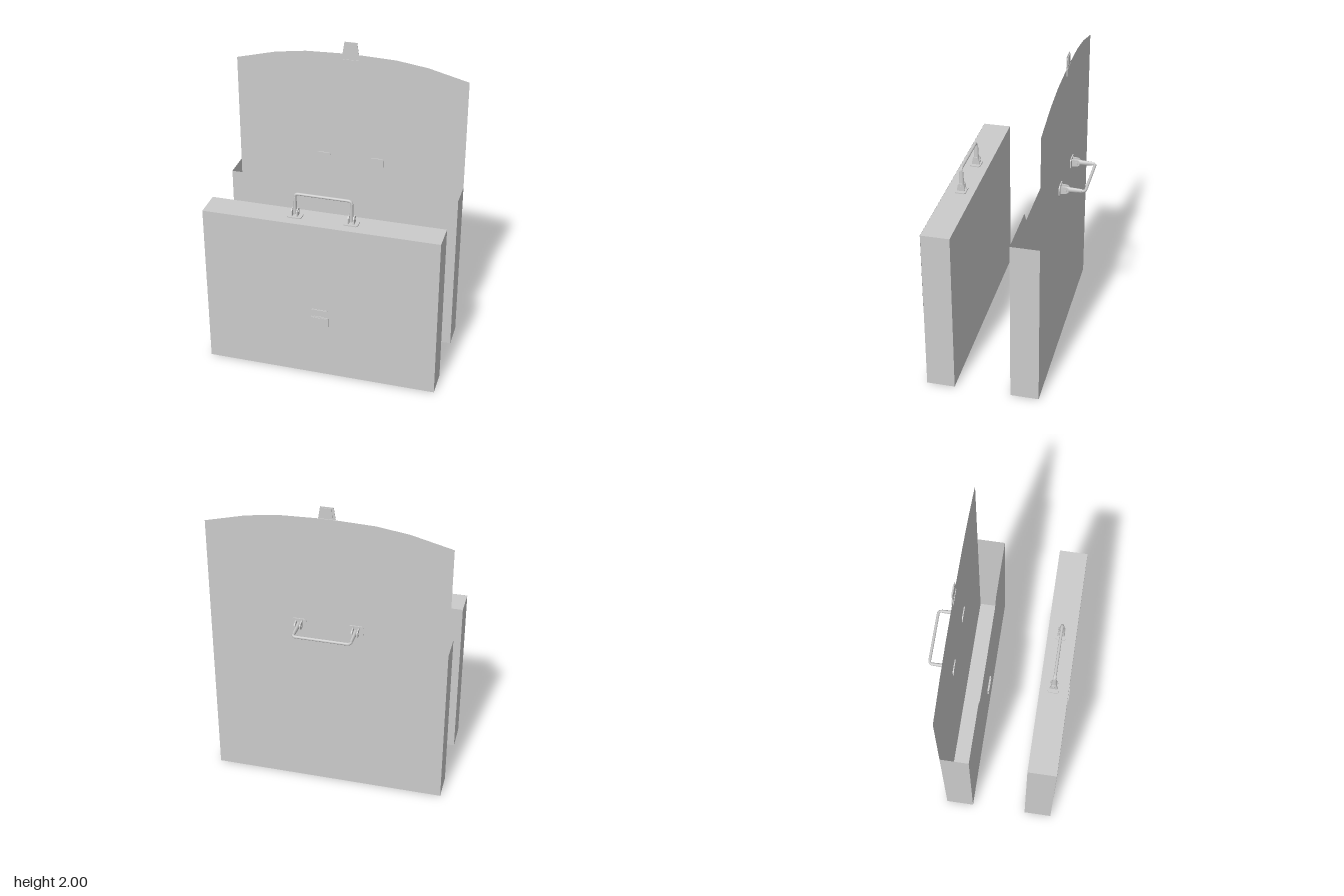
import * as THREE from 'three';

const W = 0.747, H = 1.093, D = 0.18;   // half width, body height, body depth
const sheet = new THREE.MeshStandardMaterial({ color: 0xcccccc, side: THREE.DoubleSide });
const solid = new THREE.MeshStandardMaterial({ color: 0xcccccc });

function add(parent, name, geometry, material, x = 0, y = 0, z = 0) {
  const mesh = new THREE.Mesh(geometry, material);
  mesh.name = name;
  mesh.position.set(x, y, z);
  parent.add(mesh);
  return mesh;
}

const polygon = (points) => new THREE.Shape(points.map(([x, y]) => new THREE.Vector2(x, y)));

function roundedRect(w, h, r) {
  const s = new THREE.Shape(), x = w / 2, y = h / 2;
  s.absarc(x - r, y - r, r, 0, Math.PI / 2);
  s.absarc(-x + r, y - r, r, Math.PI / 2, Math.PI);
  s.absarc(-x + r, -y + r, r, Math.PI, Math.PI * 1.5);
  s.absarc(x - r, -y + r, r, Math.PI * 1.5, Math.PI * 2);
  return s;
}

// Thin plate extruded along z, centred on z = 0
function plate(shape, thickness) {
  const g = new THREE.ExtrudeGeometry(shape, { depth: thickness, bevelEnabled: false, curveSegments: 4 });
  return g.translate(0, 0, -thickness / 2);
}

// Flap sheet with a bowed free edge, rising from y0 to the given side height
function flapGeometry(y0, side, sign) {
  const bow = [[W, 0], [0.49, 0.065], [0.29, 0.093], [0.06, 0.101]];
  const edge = [...bow, ...bow.map(([x, y]) => [-x, y]).reverse()];
  return new THREE.ShapeGeometry(polygon([[-W, y0], [W, y0], ...edge.map(([x, y]) => [x, side + sign * y])]));
}

// Carrying handle, standing up along y from a sheet at y = 0
function makeHandle() {
  const g = new THREE.Group();
  g.name = 'handle';
  const r = 0.009, x = 0.178, top = 0.155, c = 0.022;
  const path = new THREE.CurvePath();
  const v = (a, b) => new THREE.Vector3(a, b, 0);
  path.add(new THREE.LineCurve3(v(-x, 0.07), v(-x, top - c)));
  path.add(new THREE.QuadraticBezierCurve3(v(-x, top - c), v(-x, top), v(-x + c, top)));
  path.add(new THREE.LineCurve3(v(-x + c, top), v(x - c, top)));
  path.add(new THREE.QuadraticBezierCurve3(v(x - c, top), v(x, top), v(x, top - c)));
  path.add(new THREE.LineCurve3(v(x, top - c), v(x, 0.07)));
  add(g, 'grip', new THREE.TubeGeometry(path, 80, r, 10), solid);
  for (const s of [-1, 1]) {
    // Mount plate shows on both sides of the sheet
    add(g, 'mountPlate', plate(roundedRect(0.092, 0.07, 0.016), 0.014).rotateX(Math.PI / 2), solid, s * x);
    // Flattened leg, wider towards its pivot
    add(g, 'leg', new THREE.CylinderGeometry(0.009, 0.013, 0.115, 12).scale(1, 1, 1.45), solid, s * x, 0.078);
    // Fork cheeks and pivot pin
    const cheek = polygon([[-0.025, 0], [0.025, 0], [0.021, 0.042], [0.012, 0.055], [-0.012, 0.055], [-0.021, 0.042]]);
    for (const k of [-1, 1])
      add(g, 'forkCheek', plate(cheek, 0.008).rotateY(Math.PI / 2), solid, s * x + k * 0.017);
    add(g, 'pivotPin', new THREE.CylinderGeometry(0.007, 0.007, 0.05, 10).rotateZ(Math.PI / 2), solid, s * x, 0.036);
  }
  return g;
}

// Clasp tongue, pointing up from the flap edge at y = 0
function makeClasp() {
  const g = new THREE.Group();
  g.name = 'clasp';
  add(g, 'tongue', plate(polygon([[-0.052, 0], [0.052, 0], [0.04, 0.076], [-0.04, 0.076]]), 0.004), solid);
  add(g, 'raisedTongue', plate(polygon([[-0.034, 0.004], [0.034, 0.004], [0.029, 0.07], [-0.029, 0.07]]), 0.009), solid, 0, 0, -0.002);
  add(g, 'backPlate', new THREE.BoxGeometry(0.104, 0.044, 0.006), solid, 0, -0.022, -0.004);
  add(g, 'staple', new THREE.BoxGeometry(0.1, 0.006, 0.006), solid, 0, -0.043, 0.001);
  return g;
}

// Lock plate on the body front
function makeLock(z) {
  const g = new THREE.Group();
  g.name = 'lock';
  add(g, 'lockPlate', plate(roundedRect(0.112, 0.07, 0.006), 0.01), solid, 0, 0.405, z + 0.004);
  add(g, 'lockBar', new THREE.BoxGeometry(0.08, 0.015, 0.004), solid, 0, 0.428, z + 0.01);
  return g;
}

// Pouch of thin sheets; its front may have a cut-out in the upper edge
function makeBody(zBack, frontPoints) {
  const g = new THREE.Group();
  g.name = 'body';
  const zMid = zBack + D / 2;
  add(g, 'frontPanel', new THREE.ShapeGeometry(polygon(frontPoints)), sheet, 0, 0, zBack + D);
  add(g, 'backPanel', new THREE.PlaneGeometry(2 * W, H).rotateY(Math.PI), sheet, 0, H / 2, zBack);
  add(g, 'bottomPanel', new THREE.PlaneGeometry(2 * W, D).rotateX(Math.PI / 2), sheet, 0, 0, zMid);
  for (const s of [-1, 1])
    add(g, 'sidePanel', new THREE.PlaneGeometry(D, H).rotateY(s * Math.PI / 2), sheet, s * W, H / 2, zMid);
  return g;
}

export function createModel() {
  const model = new THREE.Group();
  model.name = 'briefcases';
  const front = [
    [-W, 0], [W, 0], [W, H], [0.365, H], [0.315, H - 0.075],
    [-0.315, H - 0.075], [-0.365, H], [-W, H],
  ];

  // Closed case in front
  const closed = new THREE.Group();
  closed.name = 'closedCase';
  const zc = 0.26;
  closed.add(makeBody(zc, front), makeLock(zc + D));
  add(closed, 'flapTop', new THREE.PlaneGeometry(2 * W, D).rotateX(-Math.PI / 2), sheet, 0, H, zc + D / 2);
  add(closed, 'flapFront', flapGeometry(H, 0.55, -1), sheet, 0, 0, zc + D + 0.001);
  const closedHandle = makeHandle();
  closedHandle.position.set(0, H, 0.345);
  const closedClasp = makeClasp();
  closedClasp.rotation.x = Math.PI;
  closedClasp.position.set(0, 0.448, zc + D + 0.001);
  closed.add(closedHandle, closedClasp);

  // Open case behind, flap standing upright
  const open = new THREE.Group();
  open.name = 'openCase';
  const zo = -0.28;
  open.add(makeBody(zo, front), makeLock(zo + D));
  add(open, 'flap', flapGeometry(H, 1.82, 1), sheet, 0, 0, zo);
  const openHandle = makeHandle();
  openHandle.rotation.x = -Math.PI / 2;
  openHandle.position.set(0, 1.187, zo);
  const openClasp = makeClasp();
  openClasp.position.set(0, 1.924, zo);
  open.add(openHandle, openClasp);

  model.add(closed, open);
  return model;
}
